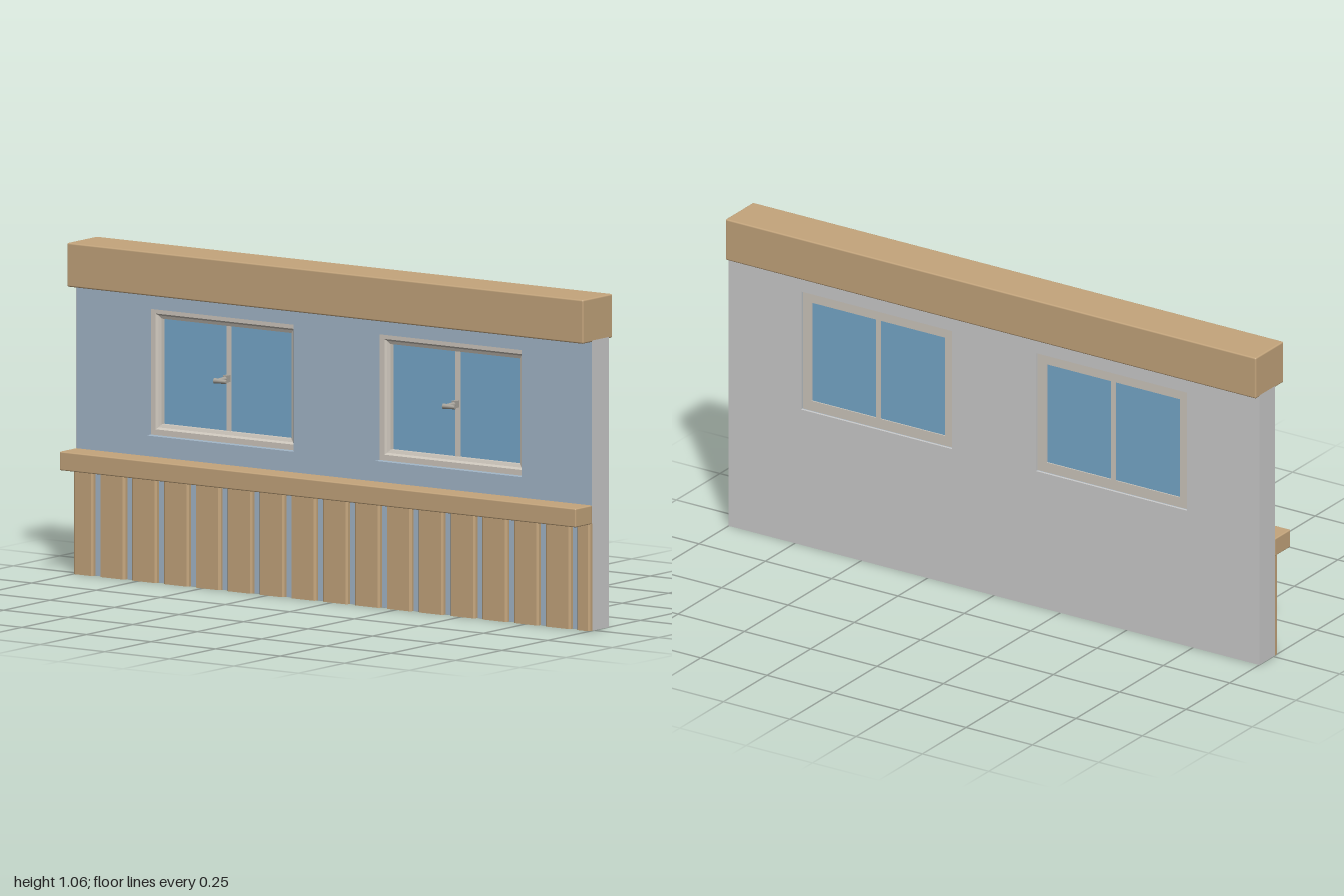
import * as THREE from 'three';
import { RoundedBoxGeometry } from 'three/addons/geometries/RoundedBoxGeometry.js';

const mat = (color) => new THREE.MeshStandardMaterial({ color });
const wood = mat(0xc4a57c);
const blue = mat(0xa3b7c9);
const plaster = mat(0xcccccc);
const frameMat = mat(0xcfc8be);
const glassMat = mat(0x77a9cb);
const metal = mat(0xa8a49c);

const WIN_X = 0.443, WIN_Y = 0.667, WIN_W = 0.57, WIN_H = 0.405;

function add(parent, name, geometry, material, x = 0, y = 0, z = 0) {
  const mesh = new THREE.Mesh(geometry, material);
  mesh.name = name;
  mesh.position.set(x, y, z);
  parent.add(mesh);
  return mesh;
}

// Box given by its limits, optionally with softened edges
function block(parent, name, material, [x0, x1], [y0, y1], [z0, z1], radius = 0) {
  const size = [x1 - x0, y1 - y0, z1 - z0];
  const geometry = radius ? new RoundedBoxGeometry(...size, 2, radius) : new THREE.BoxGeometry(...size);
  return add(parent, name, geometry, material, (x0 + x1) / 2, (y0 + y1) / 2, (z0 + z1) / 2);
}

function rectPoints(cx, cy, w, h) {
  return [[-1, -1], [1, -1], [1, 1], [-1, 1]].map(([sx, sy]) => new THREE.Vector2(cx + sx * w / 2, cy + sy * h / 2));
}

// Wall layer with the two window openings cut out
function wallLayer(parent, name, material, halfWidth, z0, z1) {
  const shape = new THREE.Shape(rectPoints(0, 0.465, halfWidth * 2, 0.93));
  for (const s of [-1, 1]) shape.holes.push(new THREE.Path(rectPoints(s * WIN_X, WIN_Y, WIN_W, WIN_H)));
  add(parent, name, new THREE.ExtrudeGeometry(shape, { depth: z1 - z0, bevelEnabled: false }), material, 0, 0, z0);
}

// Mitred frame: a profile of [inset from opening, z] swept round the rectangle
function frameGeometry(w, h, profile) {
  const positions = [];
  const ring = ([inset, z]) => rectPoints(0, 0, w - 2 * inset, h - 2 * inset).map((p) => [p.x, p.y, z]);
  for (let i = 0; i < profile.length - 1; i++) {
    const a = ring(profile[i]), b = ring(profile[i + 1]);
    for (let k = 0; k < 4; k++) {
      const n = (k + 1) % 4;
      positions.push(...a[k], ...a[n], ...b[n], ...a[k], ...b[n], ...b[k]);
    }
  }
  const geometry = new THREE.BufferGeometry();
  geometry.setAttribute('position', new THREE.Float32BufferAttribute(positions, 3));
  geometry.computeVertexNormals();
  return geometry;
}

function createWindow(x) {
  const win = new THREE.Group();
  win.name = 'window';
  win.position.set(x, WIN_Y, 0);

  const profile = [[0, -0.07], [0, -0.015], [0.018, -0.015], [0.024, -0.022], [0.034, -0.026],
    [0.034, -0.07], [0, -0.07]];
  add(win, 'windowFrame', frameGeometry(WIN_W, WIN_H, profile), frameMat);
  add(win, 'glass', new THREE.BoxGeometry(WIN_W - 0.068, WIN_H - 0.068, 0.024), glassMat, 0, 0, -0.054);
  add(win, 'mullion', new THREE.BoxGeometry(0.016, WIN_H - 0.068, 0.034), frameMat, 0, 0, -0.053);

  // Latch: square base, spindle and lever pointing to the model's left
  const handle = new THREE.Group();
  handle.name = 'handle';
  win.add(handle);
  add(handle, 'handleBase', new THREE.BoxGeometry(0.016, 0.022, 0.02), metal, 0, 0, -0.027);
  const spindle = add(handle, 'spindle', new THREE.CylinderGeometry(0.006, 0.008, 0.05, 12), metal, 0, 0, 0.005);
  spindle.rotation.x = Math.PI / 2;
  const lever = add(handle, 'lever', new THREE.CylinderGeometry(0.006, 0.009, 0.046, 12), metal, 0.017, 0, 0.03);
  lever.rotation.z = -Math.PI / 2;
  return win;
}

// Plank with chamfered front edges
function plankGeometry(width, height, depth) {
  const c = 0.006, w = width / 2;
  const shape = new THREE.Shape([[-w, 0], [w, 0], [w, -depth + c], [w - c, -depth], [-w + c, -depth], [-w, -depth + c]]
    .map(([x, y]) => new THREE.Vector2(x, y)));
  const geometry = new THREE.ExtrudeGeometry(shape, { depth: height, bevelEnabled: false });
  return geometry.rotateX(-Math.PI / 2);
}

export function createModel() {
  const model = new THREE.Group();
  model.name = 'wallSection';

  // Wall: painted front layer, plastered back and ends
  wallLayer(model, 'frontWall', blue, 0.998, -0.072, 0.01);
  wallLayer(model, 'backWall', plaster, 0.998, -0.08, -0.072);
  for (const s of [-1, 1]) {
    block(model, 'wallEnd', plaster, s < 0 ? [-1, -0.998] : [0.998, 1], [0, 0.93], [-0.08, 0.01]);
  }

  // Top beam and ledge
  block(model, 'topBeam', wood, [-1, 1], [0.92, 1.06], [-0.1, 0.06], 0.005);
  block(model, 'ledge', wood, [-1, 1], [0.34, 0.4], [0.01, 0.1], 0.004);

  // Vertical planks, separated by narrow gaps
  const gap = 0.026, edges = [-1 - gap / 2];
  for (let i = 0; i < 16; i++) edges.push(-0.912 + i * 0.1233);
  edges.push(1 + gap / 2);
  for (let i = 0; i < edges.length - 1; i++) {
    const width = edges[i + 1] - edges[i] - gap;
    add(model, 'plank', plankGeometry(width, 0.342, 0.016), wood, (edges[i] + edges[i + 1]) / 2, 0, 0.01);
  }

  for (const s of [-1, 1]) model.add(createWindow(s * WIN_X));
  return model;
}
